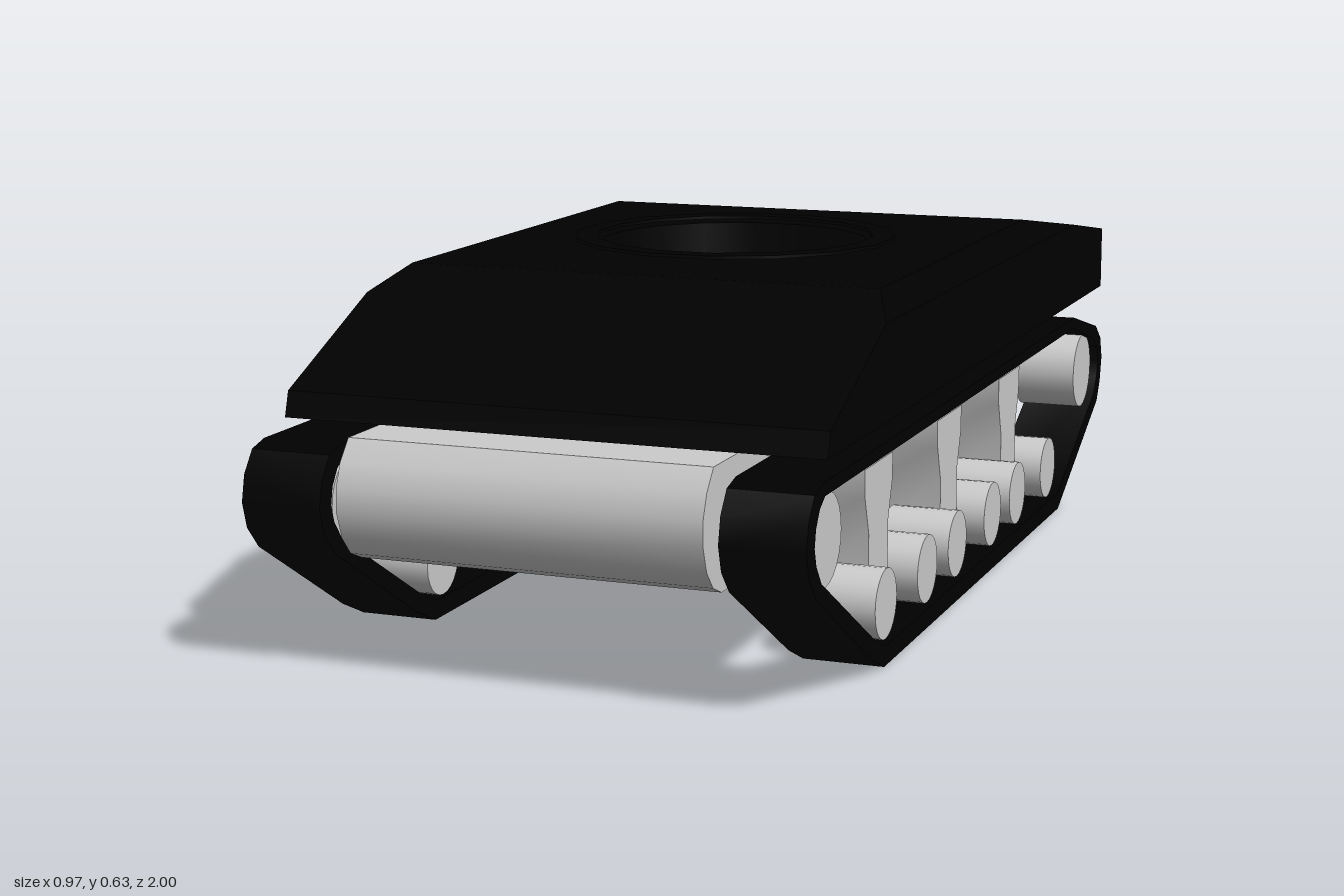
import * as THREE from 'three';
import { toCreasedNormals } from 'three/addons/utils/BufferGeometryUtils.js';

const grey = new THREE.MeshStandardMaterial({ color: 0xcccccc });
const black = new THREE.MeshStandardMaterial({ color: 0x000000 });
const blackThin = new THREE.MeshStandardMaterial({ color: 0x000000, side: THREE.DoubleSide });

const toShape = (pts, Type = THREE.Shape) => new Type(pts.map(([a, b]) => new THREE.Vector2(a, b)));

// Side outline of clockwise [z, y] points, extruded from x0 to x1
function extrudeX(outline, x0, x1, hole) {
  const shape = toShape([...outline].reverse());
  if (hole) shape.holes.push(toShape(hole, THREE.Path));
  const geo = new THREE.ExtrudeGeometry(shape, { depth: x1 - x0, bevelEnabled: false });
  geo.rotateY(-Math.PI / 2).translate(x1, 0, 0);
  return toCreasedNormals(geo, 0.6);
}

function add(parent, name, geo, mat) {
  const mesh = new THREE.Mesh(geo, mat);
  mesh.name = name;
  parent.add(mesh);
  return mesh;
}

// Turret opening
const RING_R = 0.25, SIDES = 16, BASE = 0.407, DECK = 0.614, HALF = 0.474, CHAMFER_Y = 0.573;
const ringPoints = Array.from({ length: SIDES }, (_, i) => {
  const a = ((i + 0.5) / SIDES) * Math.PI * 2;
  return [RING_R * Math.sin(a), RING_R * Math.cos(a)];
});

// Flat plate with the turret opening cut out
function plate(halfWidth, zBack, zFront, y, up) {
  const s = up ? -1 : 1;
  const shape = toShape([[-halfWidth, s * zBack], [halfWidth, s * zBack], [halfWidth, s * zFront], [-halfWidth, s * zFront]]);
  shape.holes.push(toShape(ringPoints, THREE.Path));
  return new THREE.ShapeGeometry(shape).rotateX(s * Math.PI / 2).translate(0, y, 0);
}

// Upper hull skin: cross-sections from nose to tail, chamfered above CHAMFER_Y
function upperHullGeometry() {
  const stations = [[0.868, BASE], [0.855, 0.45], [0.57, CHAMFER_Y], [0.475, DECK], [-0.47, DECK], [-0.735, CHAMFER_Y], [-1, 0.532]];
  const sections = stations.map(([z, top]) => {
    const shoulder = Math.min(top, CHAMFER_Y);
    const w = HALF - (top - shoulder);
    return [[-HALF, BASE, z], [-HALF, shoulder, z], [-w, top, z], [w, top, z], [HALF, shoulder, z], [HALF, BASE, z]];
  });
  const pos = [];
  const tri = (a, b, c) => pos.push(...a, ...b, ...c);
  for (let i = 0; i < sections.length - 1; i++) {
    for (let j = 0; j < 5; j++) {
      if (i === 3 && j === 2) continue; // the deck plate goes here
      const [p, q] = [sections[i], sections[i + 1]];
      tri(p[j], p[j + 1], q[j + 1]);
      tri(p[j], q[j + 1], q[j]);
    }
  }
  const tail = sections[sections.length - 1];
  for (let j = 1; j < 5; j++) tri(tail[0], tail[j], tail[j + 1]);
  const geo = new THREE.BufferGeometry();
  geo.setAttribute('position', new THREE.Float32BufferAttribute(pos, 3));
  geo.computeVertexNormals();
  return geo;
}

function wheel(parent, name, z, y, r) {
  const geo = new THREE.CylinderGeometry(r, r, 0.125, 24).rotateZ(Math.PI / 2);
  add(parent, name, geo, grey).position.set(0.41, y, z);
}

// Track, wheels and suspension on the +x side
function runningGear() {
  const side = new THREE.Group();
  const outer = [[0.92, 0.382], [0.96, 0.372], [0.988, 0.335], [0.998, 0.29], [0.985, 0.245], [0.95, 0.205],
    [0.67, 0.035], [0.595, 0], [-0.61, 0], [-0.945, 0.165], [-0.97, 0.205], [-0.982, 0.255], [-0.965, 0.3],
    [-0.92, 0.332], [-0.715, 0.382]];
  const inner = [[0.91, 0.36], [0.935, 0.345], [0.953, 0.318], [0.959, 0.288], [0.95, 0.258], [0.925, 0.225],
    [0.66, 0.068], [0.588, 0.034], [-0.602, 0.034], [-0.915, 0.187], [-0.938, 0.22], [-0.946, 0.255], [-0.935, 0.285],
    [-0.9, 0.308], [-0.71, 0.36]];
  add(side, 'trackBelt', extrudeX(outer, 0.342, 0.484, inner), black);

  wheel(side, 'driveSprocket', 0.87, 0.281, 0.076);
  wheel(side, 'idlerWheel', -0.845, 0.248, 0.077);
  for (const z of [0.428, -0.008, -0.438]) {
    const arm = [[0.08, 0.311], [0.078, 0.262], [0.055, 0.195], [0.055, 0.091],
      [-0.055, 0.091], [-0.055, 0.195], [-0.078, 0.262], [-0.08, 0.311]];
    add(side, 'suspensionBracket', extrudeX(arm.map(([a, b]) => [a + z, b]), 0.308, 0.42), grey);
    for (const s of [-1, 1]) wheel(side, 'roadWheel', z + s * 0.122, 0.096, 0.061);
  }
  return side;
}

export function createModel() {
  const model = new THREE.Group();
  model.name = 'trackedHull';

  // Lower hull with rounded nose and upswept tail
  const lower = [[0.945, 0.4], [0.975, 0.365], [0.991, 0.325], [0.992, 0.285], [0.976, 0.24], [0.948, 0.208], [0.91, 0.192],
    [-0.785, 0.192], [-1, 0.364], [-1, 0.4]];
  add(model, 'lowerHull', extrudeX(lower, -0.315, 0.315), grey);

  // Upper hull
  const upper = new THREE.Group();
  upper.name = 'upperHull';
  model.add(upper);
  add(upper, 'armourSkin', upperHullGeometry(), black);
  add(upper, 'deckPlate', plate(HALF - (DECK - CHAMFER_Y), -0.47, 0.475, DECK, true), black);
  add(upper, 'underPlate', plate(HALF, -1, 0.868, BASE, false), black);
  const well = new THREE.CylinderGeometry(RING_R, RING_R, DECK - BASE, SIDES, 1, true, Math.PI / SIDES);
  add(upper, 'turretWell', well.translate(0, (DECK + BASE) / 2, 0), blackThin);
  const rim = [[0.26, 0.62], [0.301, 0.62], [0.301, 0.626], [0.26, 0.626], [0.26, 0.62]].map(p => new THREE.Vector2(...p));
  add(upper, 'turretRing', toCreasedNormals(new THREE.LatheGeometry(rim, SIDES, Math.PI / SIDES), 0.5), blackThin);

  // Running gear, mirrored to the right side
  for (const [name, sign] of [['leftRunningGear', 1], ['rightRunningGear', -1]]) {
    const gear = runningGear();
    gear.name = name;
    gear.scale.x = sign;
    model.add(gear);
  }
  return model;
}
